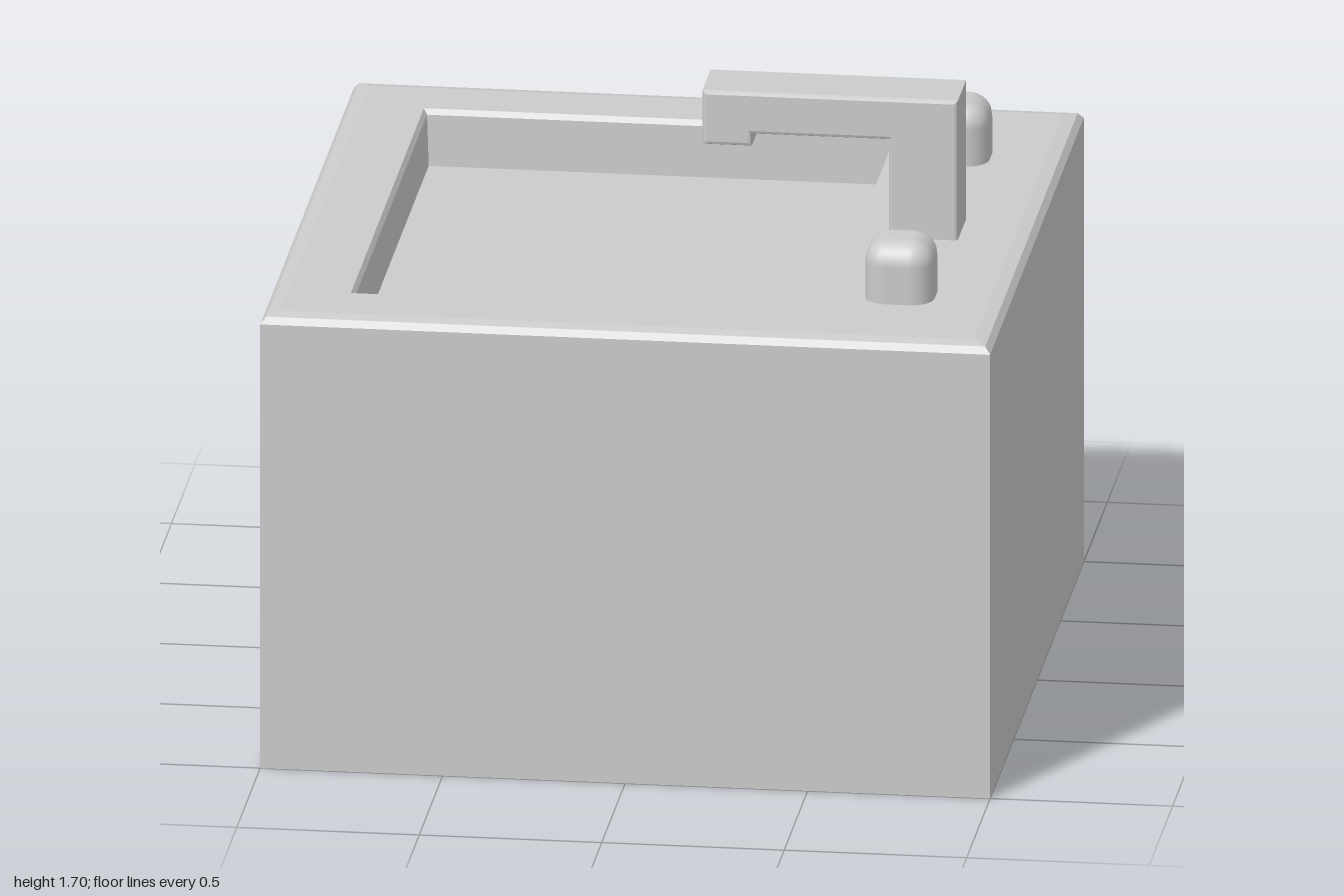
import * as THREE from 'three';
import { RoundedBoxGeometry } from 'three/addons/geometries/RoundedBoxGeometry.js';

const material = new THREE.MeshStandardMaterial({ color: 0xcccccc });

function addMesh(parent, name, geometry) {
  const mesh = new THREE.Mesh(geometry, material);
  mesh.name = name;
  parent.add(mesh);
  return mesh;
}

// Stacks rectangular rings [x0, x1, z0, z1, y] into a flat-shaded shell, capped at both ends.
function rectShell(rings) {
  const positions = [];
  const corners = rings.map(([x0, x1, z0, z1, y]) => [[x0, y, z1], [x1, y, z1], [x1, y, z0], [x0, y, z0]]);
  const quad = (a, b, c, d) => positions.push(...a, ...b, ...c, ...a, ...c, ...d);
  for (let i = 0; i < corners.length - 1; i++) {
    for (let j = 0; j < 4; j++) {
      const k = (j + 1) % 4;
      quad(corners[i][j], corners[i][k], corners[i + 1][k], corners[i + 1][j]);
    }
  }
  const [first, last] = [corners[0], corners[corners.length - 1]];
  quad(first[3], first[2], first[1], first[0]);
  quad(last[0], last[1], last[2], last[3]);
  const geometry = new THREE.BufferGeometry();
  geometry.setAttribute('position', new THREE.Float32BufferAttribute(positions, 3));
  geometry.computeVertexNormals();
  return geometry;
}

export function createModel() {
  const model = new THREE.Group();
  model.name = 'sink';

  // Cabinet with bevelled top edge and recessed basin
  addMesh(model, 'cabinetWithBasin', rectShell([
    [-1, 1, -1, 1, 0],
    [-1, 1, -1, 1, 1.275],
    [-0.985, 0.985, -0.985, 0.985, 1.293],
    [-0.95, 0.95, -0.95, 0.95, 1.3],
    [-0.78, 0.54, -0.78, 0.78, 1.3],
    [-0.77, 0.515, -0.77, 0.765, 1.285],
    [-0.765, 0.505, -0.765, 0.755, 1.14],
  ]));

  // Faucet: hooked outline extruded across its width
  const bevel = 0.01;
  const outline = [
    [0.62, 1.28], [0.79, 1.28], [0.79, 1.69], [0.11, 1.69],
    [0.11, 1.555], [0.225, 1.555], [0.225, 1.59], [0.62, 1.59],
  ].map(([x, y]) => new THREE.Vector2(x, y));
  const faucet = new THREE.ExtrudeGeometry(new THREE.Shape(outline), {
    depth: 0.19 - 2 * bevel, bevelSize: bevel, bevelThickness: bevel, bevelSegments: 2,
  });
  faucet.translate(0, 0, -0.055 + bevel);
  addMesh(model, 'faucet', faucet);

  // Tap knobs: rounded blocks sunk into the rim
  for (const [name, z] of [['backKnob', -0.575], ['frontKnob', 0.595]]) {
    const knob = addMesh(model, name, new RoundedBoxGeometry(0.19, 0.27, 0.19, 3, 0.065));
    knob.position.set(0.705, 1.335, z);
  }

  return model;
}
